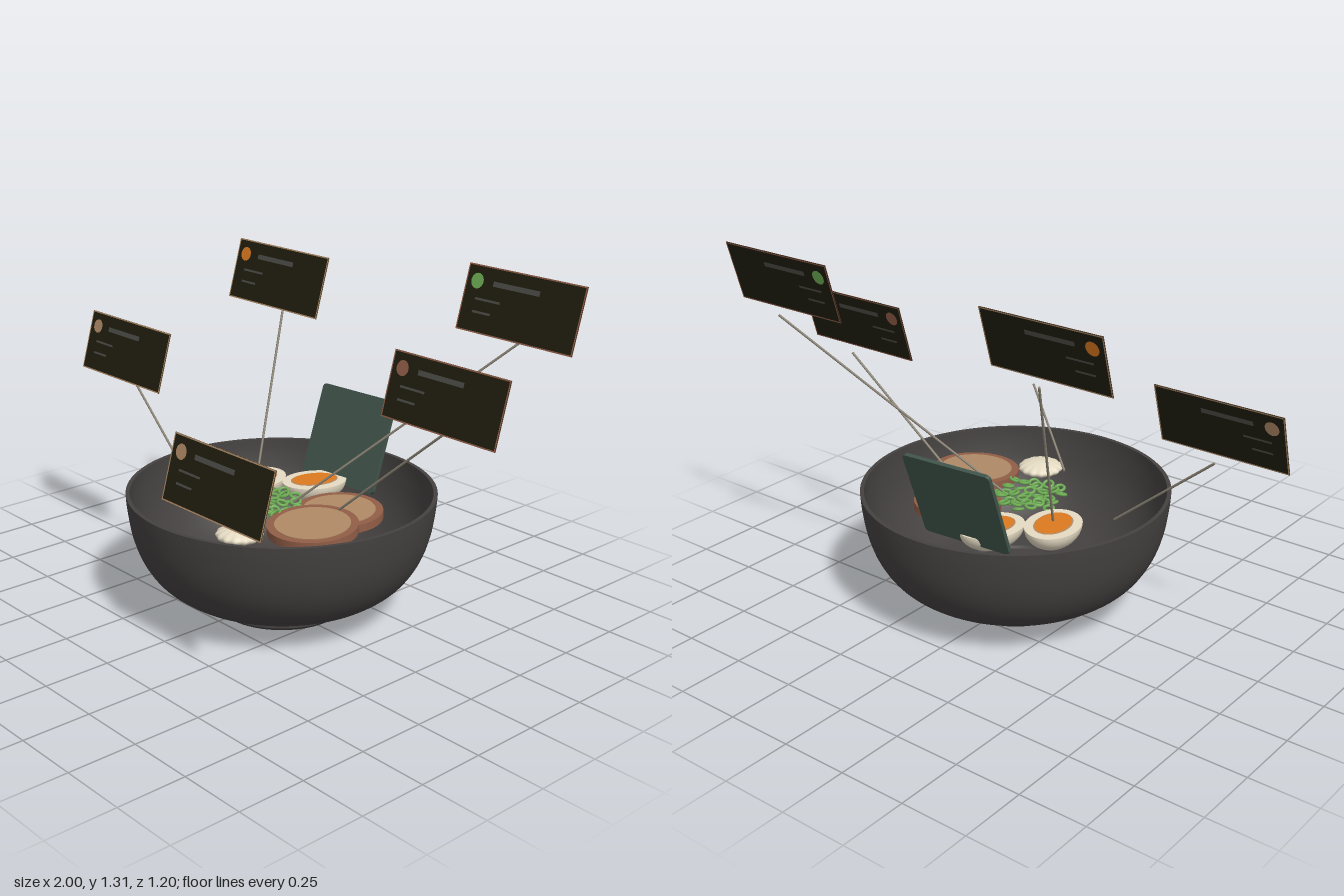
import * as THREE from 'three';
import { toCreasedNormals } from 'three/addons/utils/BufferGeometryUtils.js';

const mat = (name, color, side = THREE.FrontSide) => {
  const m = new THREE.MeshStandardMaterial({ color, side });
  m.name = name;
  return m;
};
const D = THREE.DoubleSide;
const M = {
  bowl: mat('charcoal bowl', 0x454141),
  nori: mat('seaweed green', 0x40544a),
  card: mat('dark card', 0x201e0f, D),
  tan: mat('tan', 0xb08a66, D),
  brown: mat('meat brown', 0x925e47, D),
  orange: mat('yolk orange', 0xdd7a20, D),
  green: mat('scallion green', 0x6fae55, D),
  cream: mat('egg cream', 0xe6dcc4, D),
  stick: mat('pale stick', 0x8d8576),
  grey: mat('text grey', 0x4c4b46, D),
};

function add(parent, name, geometry, material, pos = [0, 0, 0], rot = [0, 0, 0]) {
  const mesh = new THREE.Mesh(geometry, material);
  mesh.name = name;
  mesh.position.set(...pos);
  mesh.rotation.set(...rot);
  parent.add(mesh);
  return mesh;
}

function group(parent, name, pos = [0, 0, 0], rot = [0, 0, 0]) {
  const g = new THREE.Group();
  g.name = name;
  g.position.set(...pos);
  g.rotation.set(...rot);
  parent.add(g);
  return g;
}

// Bowl: foot, outer wall, rim, inner wall and floor in one turned profile
function bowl(parent) {
  const wall = new THREE.SplineCurve([
    [0.30, 0.067], [0.34, 0.072], [0.40, 0.095], [0.47, 0.15],
    [0.52, 0.225], [0.55, 0.31], [0.565, 0.4], [0.57, 0.46],
  ].map((p) => new THREE.Vector2(...p))).getPoints(28);
  const inner = new THREE.SplineCurve([
    [0.555, 0.46], [0.55, 0.4], [0.53, 0.31], [0.495, 0.235],
    [0.44, 0.165], [0.36, 0.11], [0.24, 0.088],
  ].map((p) => new THREE.Vector2(...p))).getPoints(24);
  const v = (x, y) => new THREE.Vector2(x, y);
  const profile = [v(0, 0), v(0.238, 0), v(0.25, 0.012), v(0.25, 0.055), v(0.27, 0.062),
    ...wall, ...inner, v(0.235, 0.078), v(0, 0.078)];
  const geo = toCreasedNormals(new THREE.LatheGeometry(profile, 96), 0.6);
  add(parent, 'bowl', geo, M.bowl, [0.03, 0, -0.03]);
}

// Rounded seaweed sheet leaning on the back wall
function seaweed(parent) {
  const w = 0.18, h = 0.18, r = 0.015;
  const s = new THREE.Shape();
  s.absarc(w - r, h - r, r, 0, Math.PI / 2);
  s.absarc(-w + r, h - r, r, Math.PI / 2, Math.PI);
  s.absarc(-w + r, -h + r, r, Math.PI, Math.PI * 1.5);
  s.absarc(w - r, -h + r, r, Math.PI * 1.5, Math.PI * 2);
  const geo = new THREE.ExtrudeGeometry(s, { depth: 0.015, bevelEnabled: false });
  geo.translate(0, 0, -0.0075);
  const sheet = add(parent, 'seaweedSheet', geo, M.nori, [-0.03, 0.548, -0.43]);
  sheet.rotation.set(-0.35, 0.08, 0, 'YXZ');
}

// Half egg with its cut face up
function halfEgg(parent, x, z, turn) {
  const g = group(parent, 'halfEgg', [x, 0.41, z], [0, turn, 0]);
  const body = new THREE.SphereGeometry(1, 32, 12, 0, Math.PI * 2, Math.PI / 2, Math.PI / 2);
  add(g, 'eggBody', body, M.cream).scale.set(0.1, 0.085, 0.127);
  const disc = new THREE.CircleGeometry(1, 40).rotateX(-Math.PI / 2);
  add(g, 'eggWhiteFace', disc, M.cream).scale.set(0.1, 1, 0.127);
  add(g, 'yolkRim', disc, M.tan, [0, 0.002, 0]).scale.set(0.066, 1, 0.094);
  add(g, 'yolk', disc, M.orange, [0, 0.004, 0]).scale.set(0.061, 1, 0.089);
}

// Round meat slice: brown edge with a paler middle on both faces
function meatSlice(parent, x, y, z, r, tilt) {
  const g = group(parent, 'meatSlice', [x, y, z], [tilt, 0, 0]);
  add(g, 'sliceEdge', new THREE.CylinderGeometry(r, r, 0.03, 48), M.brown);
  add(g, 'sliceMiddle', new THREE.CylinderGeometry(r * 0.83, r * 0.83, 0.035, 48), M.tan);
}

// Fluted fish cake, a flattened dome
function fishCake(parent) {
  const geo = new THREE.SphereGeometry(0.083, 72, 20);
  const p = geo.attributes.position;
  for (let i = 0; i < p.count; i++) {
    const a = Math.atan2(p.getZ(i), p.getX(i));
    const k = 1 + 0.035 * Math.cos(14 * a);
    p.setXYZ(i, p.getX(i) * k, p.getY(i) * 0.32, p.getZ(i) * k);
  }
  geo.computeVertexNormals();
  add(parent, 'fishCake', geo, M.cream, [0.145, 0.395, 0.27]);
}

// Scattered scallion rings
function scallions(parent) {
  const g = group(parent, 'scallions');
  let seed = 11;
  const rnd = () => (seed = (seed * 16807) % 2147483647) / 2147483647;
  const ring = new THREE.TorusGeometry(0.018, 0.006, 6, 14);
  for (let i = 0; i < 30; i++) {
    const a = i * 2.4, r = 0.135 * Math.sqrt((i + 0.5) / 30);
    add(g, 'scallionRing', ring, M.green,
      [0.005 + r * Math.cos(a), 0.4 + rnd() * 0.015, 0.02 + r * Math.sin(a)],
      [Math.PI / 2 + (rnd() - 0.5) * 0.7, (rnd() - 0.5) * 0.7, 0]);
  }
}

// Card with border, dot and plain bars on both faces, held up by a thin stick
const W = 0.5, H = 0.232;
function card(parent, [x, y, z], end, dot, border) {
  const g = group(parent, 'card', [x, y, z], [-0.28, 0, 0]);
  add(g, 'cardPlate', new THREE.PlaneGeometry(W, H), M.card);
  for (const s of [1, -1]) {
    const bar = (name, w, h, cx, cy, m) =>
      add(g, name, new THREE.PlaneGeometry(w, h), m, [cx, cy, s * 0.002]);
    for (const e of [1, -1]) {
      bar('borderLong', W, 0.005, 0, e * (H / 2 - 0.0025), border);
      bar('borderShort', 0.005, H, e * (W / 2 - 0.0025), 0, border);
    }
    add(g, 'cardDot', new THREE.CircleGeometry(0.027, 28), dot, [-0.2, 0.06, s * 0.003]);
    bar('titleBar', 0.2, 0.018, -0.03, 0.06, M.grey);
    bar('textBar', 0.11, 0.008, -0.14, 0, M.grey);
    bar('textBar', 0.08, 0.008, -0.155, -0.045, M.grey);
  }
  const a = new THREE.Vector3(x, y - 0.115, z - 0.03), b = new THREE.Vector3(...end);
  const stick = add(parent, 'cardStick',
    new THREE.CylinderGeometry(0.0045, 0.0045, a.distanceTo(b), 8), M.stick);
  stick.position.copy(a).add(b).multiplyScalar(0.5);
  stick.quaternion.setFromUnitVectors(new THREE.Vector3(0, 1, 0), a.clone().sub(b).normalize());
}

export function createModel() {
  const model = new THREE.Group();
  model.name = 'noodleBowlWithCards';
  bowl(model);
  seaweed(model);
  halfEgg(model, -0.05, -0.27, -0.3);
  halfEgg(model, -0.215, -0.125, 0.22);
  meatSlice(model, 0.205, 0.38, -0.155, 0.162, 0.04);
  meatSlice(model, 0.295, 0.41, 0.06, 0.163, 0.06);
  fishCake(model);
  scallions(model);
  card(model, [-0.75, 0.84, 0.09], [-0.33, 0.38, 0.09], M.tan, M.tan);
  card(model, [-0.33, 1.14, -0.33], [-0.21, 0.42, -0.12], M.orange, M.tan);
  card(model, [0.75, 1.2, -0.45], [0.09, 0.42, -0.035], M.green, M.brown);
  card(model, [0.75, 0.957, -0.09], [0.24, 0.4, -0.08], M.brown, M.brown);
  card(model, [0.385, 0.718, 0.565], [0.03, 0.41, 0.27], M.tan, M.tan);
  return model;
}
